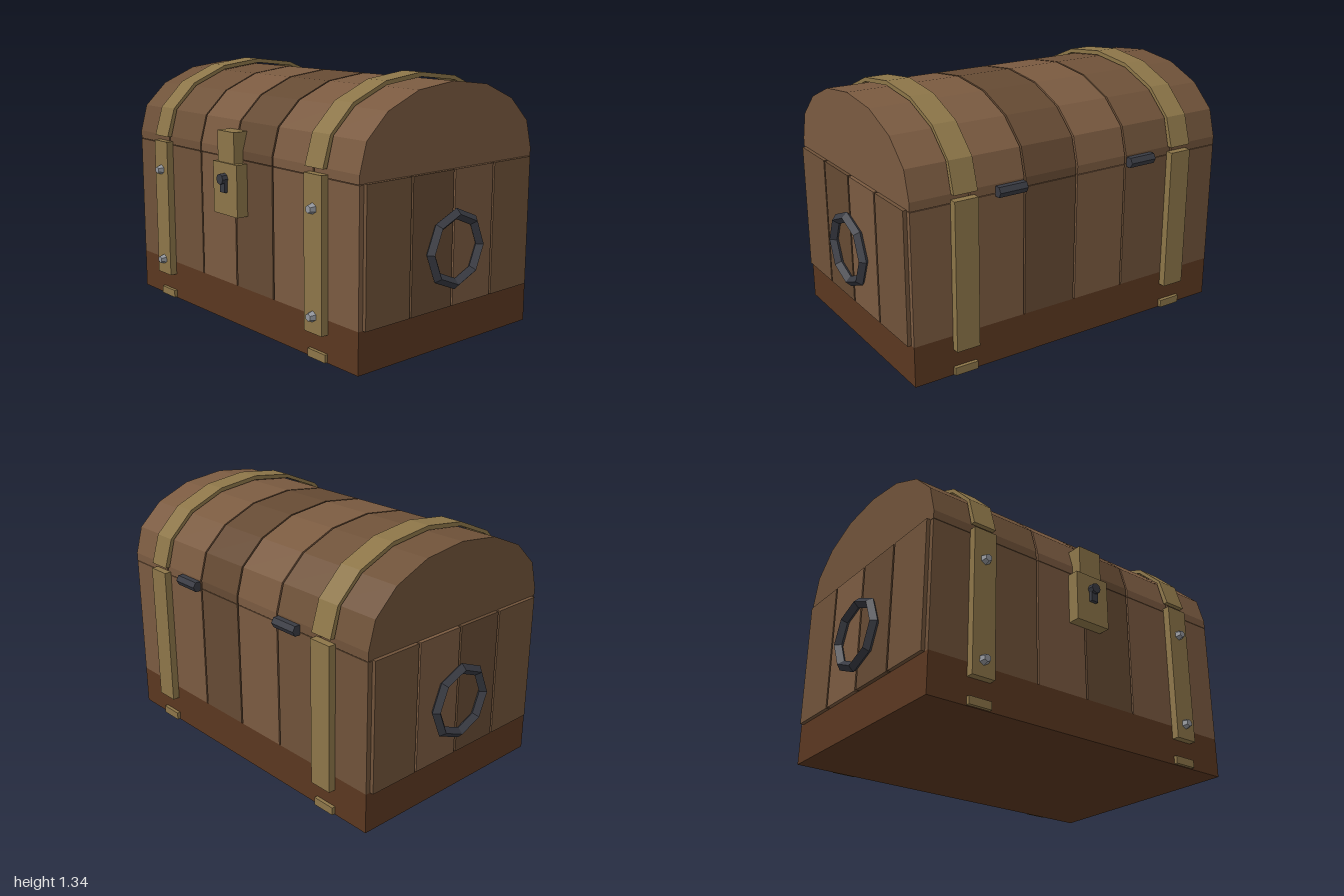
import * as THREE from 'three';

const mat = (color) => new THREE.MeshStandardMaterial({ color, flatShading: true });
const WOOD = [0x6f5239, 0x7a5a40, 0x654a33].map(mat);
const BASE = mat(0x5a3720);
const BRASS = mat(0x8c7548);
const IRON = mat(0x383a42);
const STEEL = mat(0x93969c);
const ZC = -0.027; // centre of the chest body in z

// Half of the lid arch as [z offset from centre, y], from eave to ridge
const LID = [[0.602, 0.935], [0.562, 1.08], [0.432, 1.203], [0.237, 1.285], [0, 1.313]];
const STRAP_IN = [[0.608, 0.935], [0.568, 1.085], [0.437, 1.209], [0.24, 1.291], [0, 1.319]];
const STRAP_OUT = [[0.634, 0.935], [0.587, 1.09], [0.449, 1.225], [0.24, 1.313], [0, 1.342]];

export function createModel() {
  const chest = new THREE.Group();
  chest.name = 'treasureChest';

  const add = (name, geometry, material, x = 0, y = 0, z = 0) => {
    const mesh = new THREE.Mesh(geometry, material);
    mesh.name = name;
    mesh.position.set(x, y, z);
    chest.add(mesh);
    return mesh;
  };
  // Box given by its limits on each axis
  const box = (name, material, [x0, x1], [y0, y1], [z0, z1]) =>
    add(name, new THREE.BoxGeometry(x1 - x0, y1 - y0, z1 - z0), material,
      (x0 + x1) / 2, (y0 + y1) / 2, (z0 + z1) / 2);
  const mirrored = (half) => [...half, ...half.slice(0, -1).reverse().map(([z, y]) => [-z, y])];
  // Extrude a [z, y] outline along x from x0 to x1
  const slice = (name, material, outline, x0, x1) => {
    const shape = new THREE.Shape(outline.map(([z, y]) => new THREE.Vector2(-z, y)));
    const geometry = new THREE.ExtrudeGeometry(shape, { depth: x1 - x0, bevelEnabled: false });
    geometry.rotateY(Math.PI / 2);
    return add(name, geometry, material, x0, 0, ZC);
  };

  // Base and inner floor
  box('base', BASE, [-0.935, 0.935], [0, 0.212], [-0.629, 0.575]);
  box('innerFloor', BASE, [-0.9, 0.9], [0.2, 0.235], [-0.595, 0.54]);

  // Front, back and lid planks: six across, with narrow gaps
  const pitch = 1.87 / 6;
  const lidOutline = [[0.602, 0.89], ...mirrored(LID), [-0.602, 0.89]];
  const shades = [0, 0, 1, 2, 1, 1];
  for (let i = 0; i < 6; i++) {
    const x0 = -0.935 + i * pitch + (i > 0 ? 0.005 : 0);
    const x1 = -0.935 + (i + 1) * pitch - (i < 5 ? 0.005 : 0);
    const wood = WOOD[shades[i]];
    box('frontPlank', wood, [x0, x1], [0.212, 0.887], [0.54, 0.575]);
    box('backPlank', wood, [x0, x1], [0.212, 0.887], [-0.629, -0.595]);
    slice('lidPlank', wood, lidOutline, x0, x1);
  }

  // End planks: four on each side
  const endPitch = 1.152 / 4;
  for (const s of [-1, 1]) {
    for (let i = 0; i < 4; i++) {
      const z1 = 0.549 - i * endPitch - (i > 0 ? 0.006 : 0);
      const z0 = 0.549 - (i + 1) * endPitch + (i < 3 ? 0.006 : 0);
      const xs = s > 0 ? [0.915, 0.955] : [-0.955, -0.915];
      box('endPlank', WOOD[[0, 2, 1, 0][i]], xs, [0.212, 0.893], [z0, z1]);
    }

    // Octagonal ring handle
    const ring = add('ringHandle', new THREE.TorusGeometry(0.175, 0.028, 4, 8), IRON, s * 0.972, 0.505, ZC);
    ring.rotation.y = s * Math.PI / 2;

    // Brass straps over the lid, down the front and back, and at the foot
    const x0 = s * 0.66 - 0.064, x1 = s * 0.66 + 0.064;
    slice('lidStrap', BRASS, [...mirrored(STRAP_OUT), ...mirrored(STRAP_IN).reverse()], x0, x1);
    box('frontStrap', BRASS, [x0, x1], [0.14, 0.907], [0.573, 0.614]);
    box('backStrap', BRASS, [x0, x1], [0.14, 0.907], [-0.668, -0.627]);
    box('frontFootClip', BRASS, [x0, x1], [0.004, 0.045], [0.56, 0.593]);
    box('backFootClip', BRASS, [x0, x1], [0.004, 0.045], [-0.648, -0.61]);

    // Hexagonal bolts on the front straps
    for (const y of [0.225, 0.745]) {
      const bolt = add('bolt', new THREE.CylinderGeometry(0.019, 0.028, 0.03, 6), STEEL, s * 0.66, y, 0.628);
      bolt.rotation.x = Math.PI / 2;
    }

    // Hinge barrel on the back
    const hinge = add('hinge', new THREE.CylinderGeometry(0.03, 0.03, 0.158, 6), IRON, s * 0.4, 0.9, -0.644);
    hinge.rotation.z = Math.PI / 2;
  }

  // Lock: plate, hasp and keyhole
  box('lockPlate', BRASS, [-0.104, 0.102], [0.602, 0.873], [0.573, 0.64]);
  box('lockHasp', BRASS, [-0.073, 0.069], [0.87, 1.034], [0.53, 0.631]);
  box('keyholeSlot', IRON, [-0.022, 0.02], [0.722, 0.785], [0.635, 0.658]);
  const disc = add('keyholeDisc', new THREE.CylinderGeometry(0.028, 0.028, 0.036, 8), IRON, -0.002, 0.792, 0.655);
  disc.rotation.x = Math.PI / 2;

  return chest;
}
